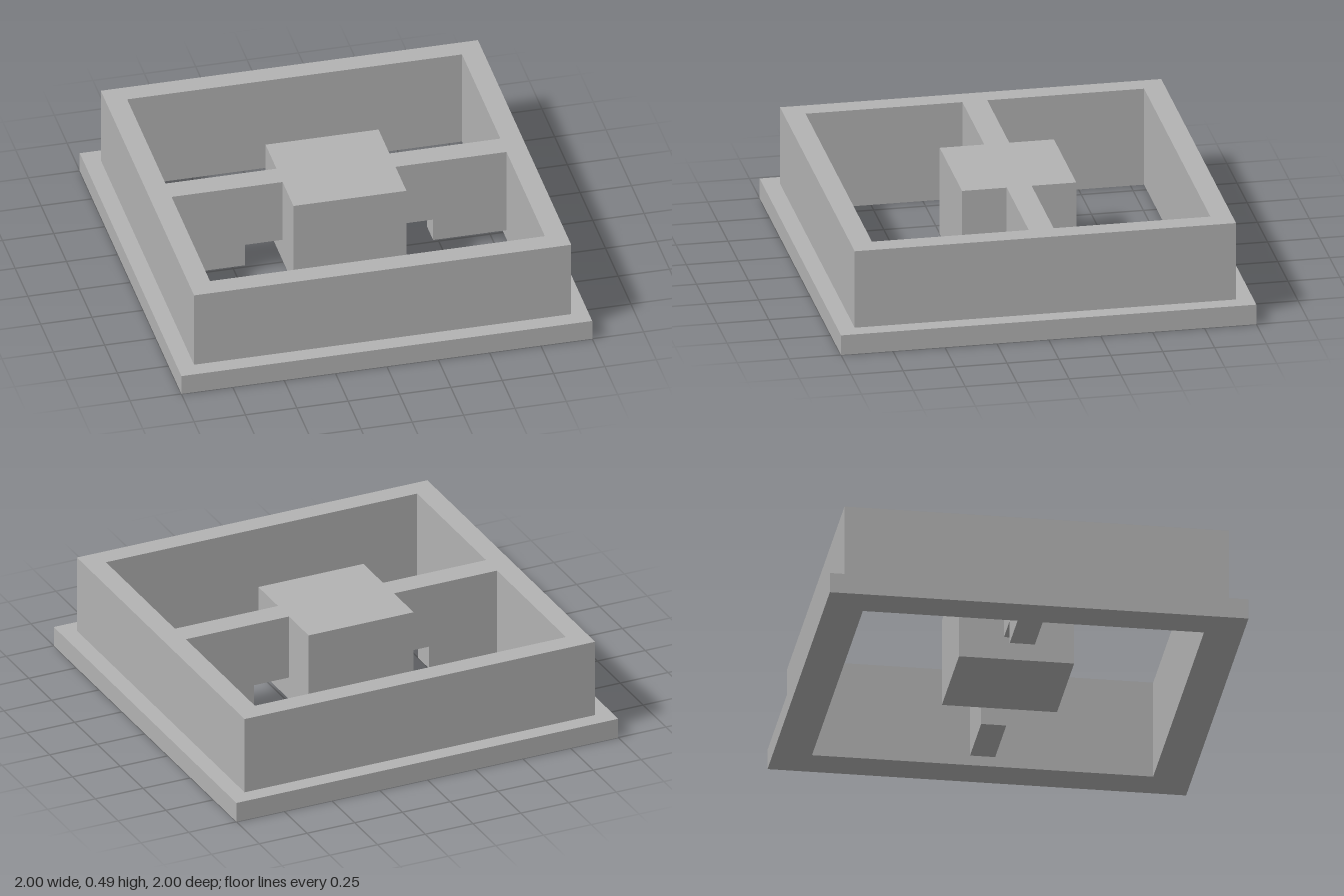
import * as THREE from 'three';

const HEIGHT = 0.49;      // overall height
const INNER = 0.815;      // half width of the opening
const HUB = 0.275;        // half width of the central block
const RIB = 0.06;         // half thickness of the cross ribs
const LIFT = 0.05;        // underside of hub and ribs
const NOTCH_X = 0.458;    // outer end of the notch beside the hub
const NOTCH_Y = 0.165;    // ceiling of the notch

const squarePoints = (h) => [[-h, -h], [h, -h], [h, h], [-h, h]].map(([x, y]) => new THREE.Vector2(x, y));

// Square ring standing between two heights
function ring(outer, inner, y0, y1) {
  const shape = new THREE.Shape(squarePoints(outer));
  shape.holes.push(new THREE.Path(squarePoints(inner).reverse()));
  const geometry = new THREE.ExtrudeGeometry(shape, { depth: y1 - y0, bevelEnabled: false });
  geometry.rotateX(-Math.PI / 2);
  geometry.translate(0, y0, 0);
  return geometry;
}

export function createModel() {
  const group = new THREE.Group();
  const grey = new THREE.MeshStandardMaterial({ color: 0xb3b3b3 });
  grey.name = 'plain grey';

  const add = (name, geometry) => {
    const mesh = new THREE.Mesh(geometry, grey);
    mesh.name = name;
    group.add(mesh);
    return mesh;
  };

  // Frame: wide base flange with a taller wall on it
  add('baseFlange', ring(1, INNER, 0, 0.1));
  add('wall', ring(0.918, INNER, 0.1, HEIGHT));

  // Central block
  const hub = new THREE.BoxGeometry(HUB * 2, HEIGHT - LIFT, HUB * 2);
  hub.translate(0, (HEIGHT + LIFT) / 2, 0);
  add('centralBlock', hub);

  // Ribs joining the block to the wall, notched underneath next to the block
  const profile = new THREE.Shape([
    [HUB, NOTCH_Y], [NOTCH_X, NOTCH_Y], [NOTCH_X, LIFT],
    [INNER, LIFT], [INNER, HEIGHT], [HUB, HEIGHT],
  ].map(([x, y]) => new THREE.Vector2(x, y)));
  const rib = new THREE.ExtrudeGeometry(profile, { depth: RIB * 2, bevelEnabled: false });
  rib.translate(0, 0, -RIB);
  add('leftRib', rib);
  add('rightRib', rib).rotation.y = Math.PI;

  return group;
}
